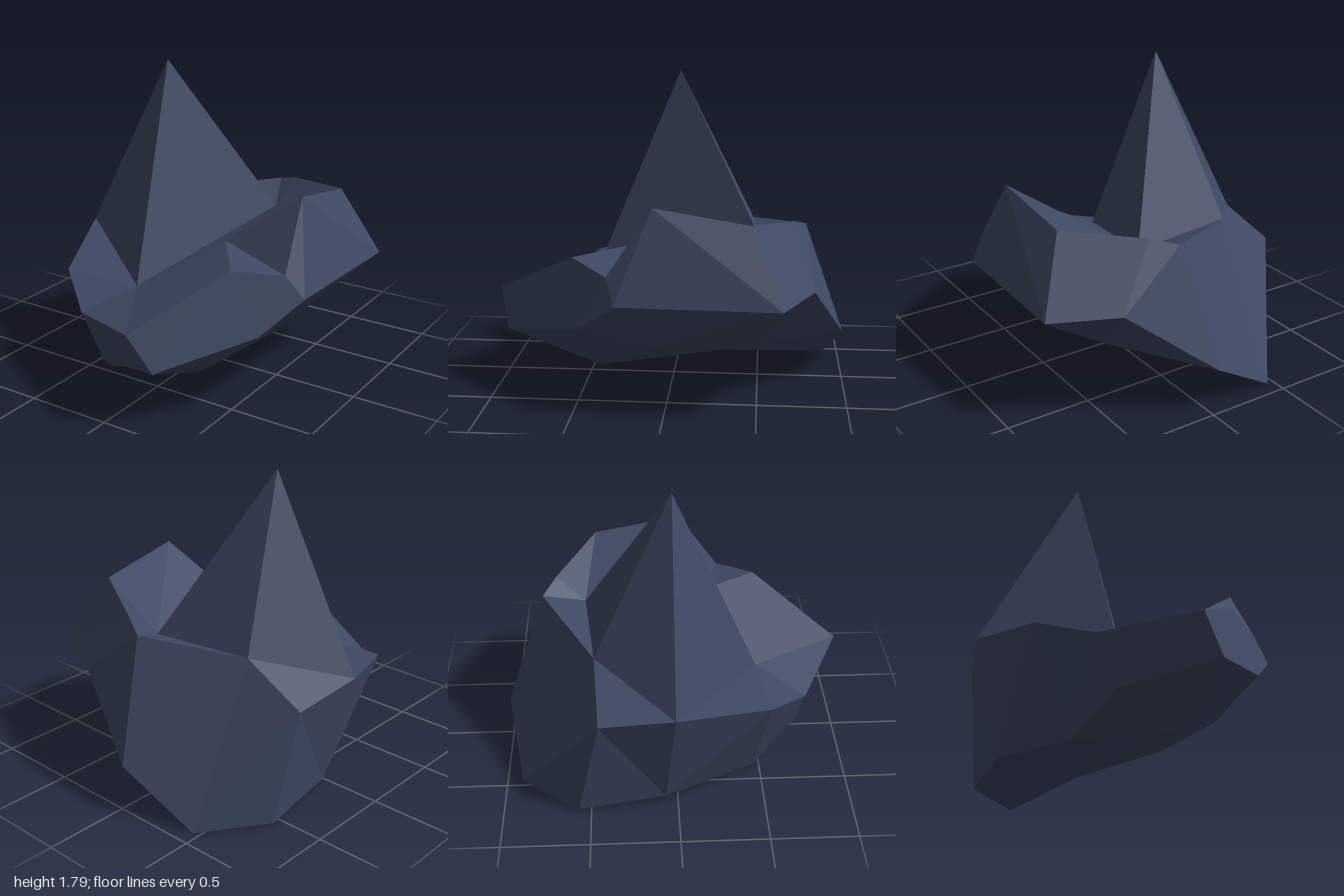
import * as THREE from 'three';

// Corner points of the rock, grouped by where they sit
const P = {
  // spike tip and the four corners of its foot
  tip: [-0.27, 1.79, -0.02], footL: [-0.84, 0.72, -0.02], footB: [-0.45, 0.87, -0.46],
  footR: [0.18, 0.85, -0.52], footF: [-0.15, 0.585, 0.48],
  // upper rim, front to side
  rimA: [-0.61, 0.605, 0.53], rimB: [-0.33, 0.48, 0.76], nose: [0.16, 0.557, 1.0],
  rimC: [0.5, 0.828, 0.52], notch: [0.27, 0.855, 0.2], rimD: [0.71, 0.775, 0.305],
  peak: [0.67, 1.145, 0.06],
  // upper rim, back
  backA: [0.65, 1.055, -0.46], backB: [0.225, 0.993, -0.69], backC: [0.08, 0.95, -0.765],
  // widest girth
  chin: [0.28, 0.338, 0.937], girthA: [0.65, 0.464, 0.475], girthB: [0.805, 0.64, 0.255],
  girthC: [0.835, 0.64, -0.635], girthD: [0.46, 0.647, -0.81], tail: [-0.02, 0.275, -1.0],
  girthE: [-0.8, 0.66, -0.44],
  // underside
  lowA: [-0.46, 0, -0.91], lowB: [-0.735, 0.018, -0.57], lowC: [-0.68, 0.05, -0.07],
  lowD: [-0.38, 0.01, 0.46], lowE: [-0.215, 0.203, 0.72], lowF: [0.23, 0.118, 0.405],
  lowG: [0.52, 0.31, 0.1], lowH: [0.36, 0.295, -0.44], keel: [-0.08, 0.12, -0.28],
};

// Each part is one or more fans: a hub followed by its surrounding corners
const PARTS = {
  spike: ['tip footL footF footR footB footL'],
  frontDeck: ['footF footL rimA rimB nose rimC notch footR'],
  rearDeck: ['footR notch peak backA backB backC footB'],
  notchedSide: ['rimD rimC girthA girthB peak notch rimC'],
  prow: ['chin nose lowE lowF girthA rimC nose'],
  rearCorner: ['girthC backA peak girthB lowG lowH girthD backB backA'],
  backFace: ['backC backB girthD tail footB', 'footB tail lowA'],
  outerFlank: ['girthE footB lowA lowB lowC footL footB'],
  frontFlank: ['rimA footL lowC lowD rimB', 'lowE nose rimB lowD lowF'],
  underside: [
    'keel lowF lowD lowC lowB lowA tail lowH lowG lowF',
    'girthA lowF lowG girthB',
    'girthD lowH tail',
  ],
};

// Turns fans into separate flat triangles
function fanGeometry(fans) {
  const pos = [];
  for (const fan of fans) {
    const [hub, ...ring] = fan.split(' ');
    for (let i = 0; i + 1 < ring.length; i++) {
      pos.push(...P[hub], ...P[ring[i]], ...P[ring[i + 1]]);
    }
  }
  const geo = new THREE.BufferGeometry();
  geo.setAttribute('position', new THREE.Float32BufferAttribute(pos, 3));
  geo.computeVertexNormals();
  return geo;
}

export function createModel() {
  const slate = new THREE.MeshStandardMaterial({ color: 0x3f4963, flatShading: true });
  slate.name = 'slate blue stone';

  const rock = new THREE.Group();
  rock.name = 'rock';
  for (const [name, fans] of Object.entries(PARTS)) {
    const mesh = new THREE.Mesh(fanGeometry(fans), slate);
    mesh.name = name;
    rock.add(mesh);
  }
  return rock;
}
